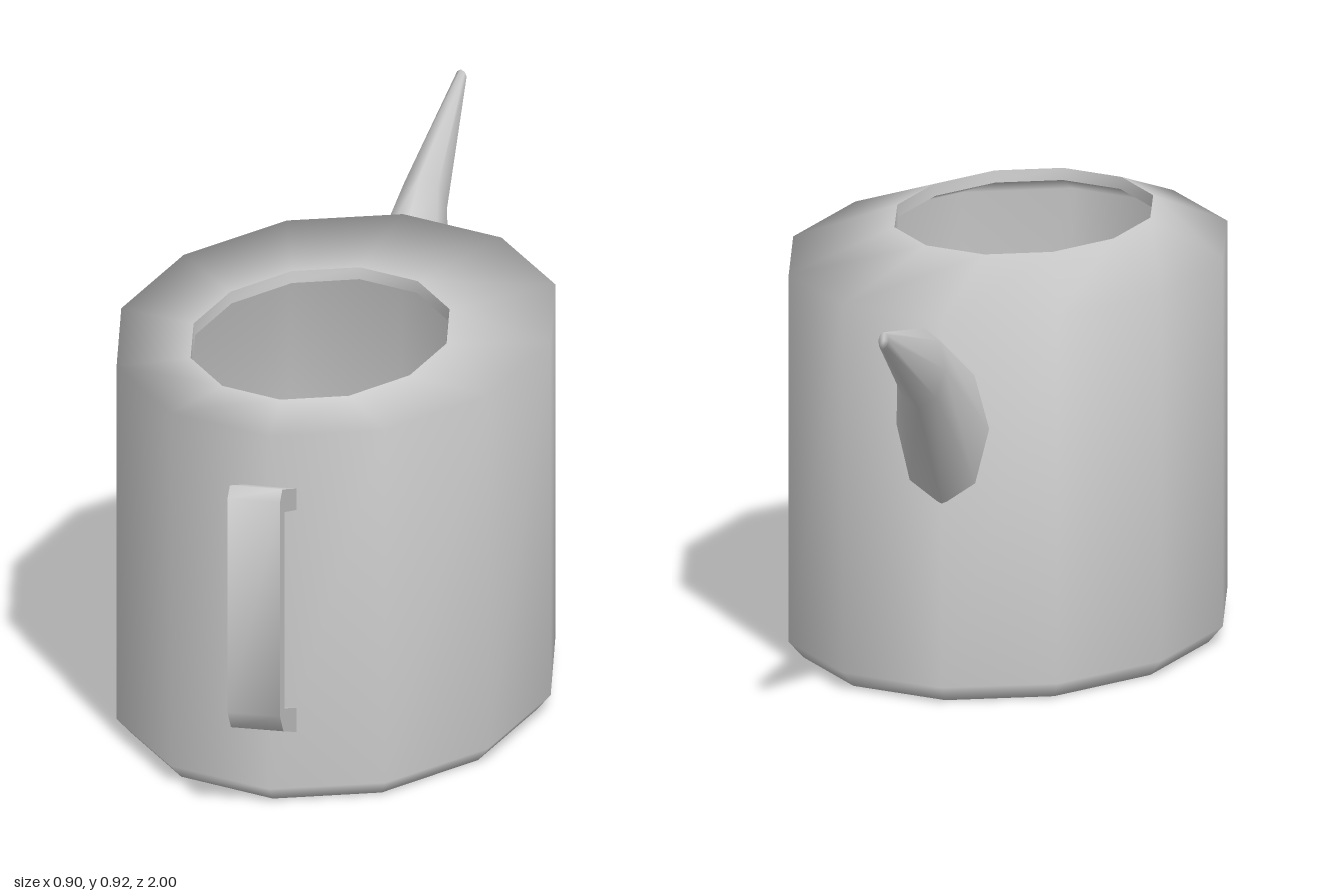
import * as THREE from 'three';
import { toCreasedNormals } from 'three/addons/utils/BufferGeometryUtils.js';

const material = new THREE.MeshStandardMaterial({ color: 0xcccccc, side: THREE.DoubleSide });

// Smooth skin through a list of closed rings with equal point counts
function loft(rings) {
  const n = rings[0].length;
  const index = [];
  for (let i = 0; i < rings.length - 1; i++) {
    for (let j = 0; j < n; j++) {
      const a = i * n + j, b = i * n + (j + 1) % n;
      index.push(a, b, b + n, a, b + n, a + n);
    }
  }
  const geometry = new THREE.BufferGeometry();
  geometry.setAttribute('position', new THREE.Float32BufferAttribute(rings.flat(2), 3));
  geometry.setIndex(index);
  geometry.computeVertexNormals();
  return geometry;
}

// Points of a ring, from a rule taking the angle's sine and cosine
function ring(sides, rule) {
  return Array.from({ length: sides }, (_, j) => {
    const a = (j / sides) * Math.PI * 2;
    return rule(Math.sin(a), Math.cos(a));
  });
}

// Horizontal twelve-sided oval
const oval = ([y, rx, rz, cz]) => ring(12, (s, c) => [rx * s, y, cz + rz * c]);

export function createModel() {
  const model = new THREE.Group();
  const add = (name, geometry) => {
    const mesh = new THREE.Mesh(geometry, material);
    mesh.name = name;
    model.add(mesh);
  };

  // Outer body: floor, bevel, wall and sloping top up to the filling hole
  add('body', loft([
    [0, 0, 0, 0.21],
    [0, 0.42, 0.605, 0.21],
    [0.035, 0.45, 0.643, 0.21],
    [0.81, 0.45, 0.643, 0.21],
    [0.85, 0.265, 0.383, 0.363],
  ].map(oval)));

  // Lip of the filling hole
  add('holeLip', loft([
    [0.85, 0.265, 0.383, 0.363],
    [0.825, 0.262, 0.38, 0.363],
  ].map(oval)));

  // Inside of the tank
  add('innerShell', loft([
    [0.825, 0.262, 0.38, 0.363],
    [0.787, 0.428, 0.62, 0.21],
    [0.045, 0.428, 0.62, 0.21],
    [0.025, 0.4, 0.585, 0.21],
    [0.025, 0, 0, 0.21],
  ].map(oval)));

  // Spout: half width, top y and z, bottom y and z, forward bow of the sides
  add('spout', loft([
    [0.097, 0.745, -0.44, 0.42, -0.43, 0.015],
    [0.05, 0.833, -0.6, 0.677, -0.657, 0],
    [0.011, 0.917, -0.988, 0.883, -1, 0],
    [0, 0.9, -0.994, 0.9, -0.994, 0],
  ].map(([w, ty, tz, by, bz, bow]) => ring(8, (s, c) => [
    w * s,
    (ty + by) / 2 + (ty - by) / 2 * c,
    (tz + bz) / 2 + (tz - bz) / 2 * c + bow * s * s,
  ]))));

  // Handle: side profile in (z, y), extruded across x
  const profile = new THREE.Shape([
    [0.84, 0.695], [0.977, 0.745], [1, 0.725], [1, 0.255], [0.967, 0.21], [0.84, 0.16],
    [0.84, 0.213], [0.958, 0.257], [0.958, 0.688], [0.84, 0.648],
  ].map(([z, y]) => new THREE.Vector2(z, y)));
  const handle = new THREE.ExtrudeGeometry(profile, { depth: 0.11, bevelEnabled: false });
  handle.translate(0, 0, -0.055).rotateY(-Math.PI / 2);
  add('handle', toCreasedNormals(handle, 1.1));

  return model;
}
